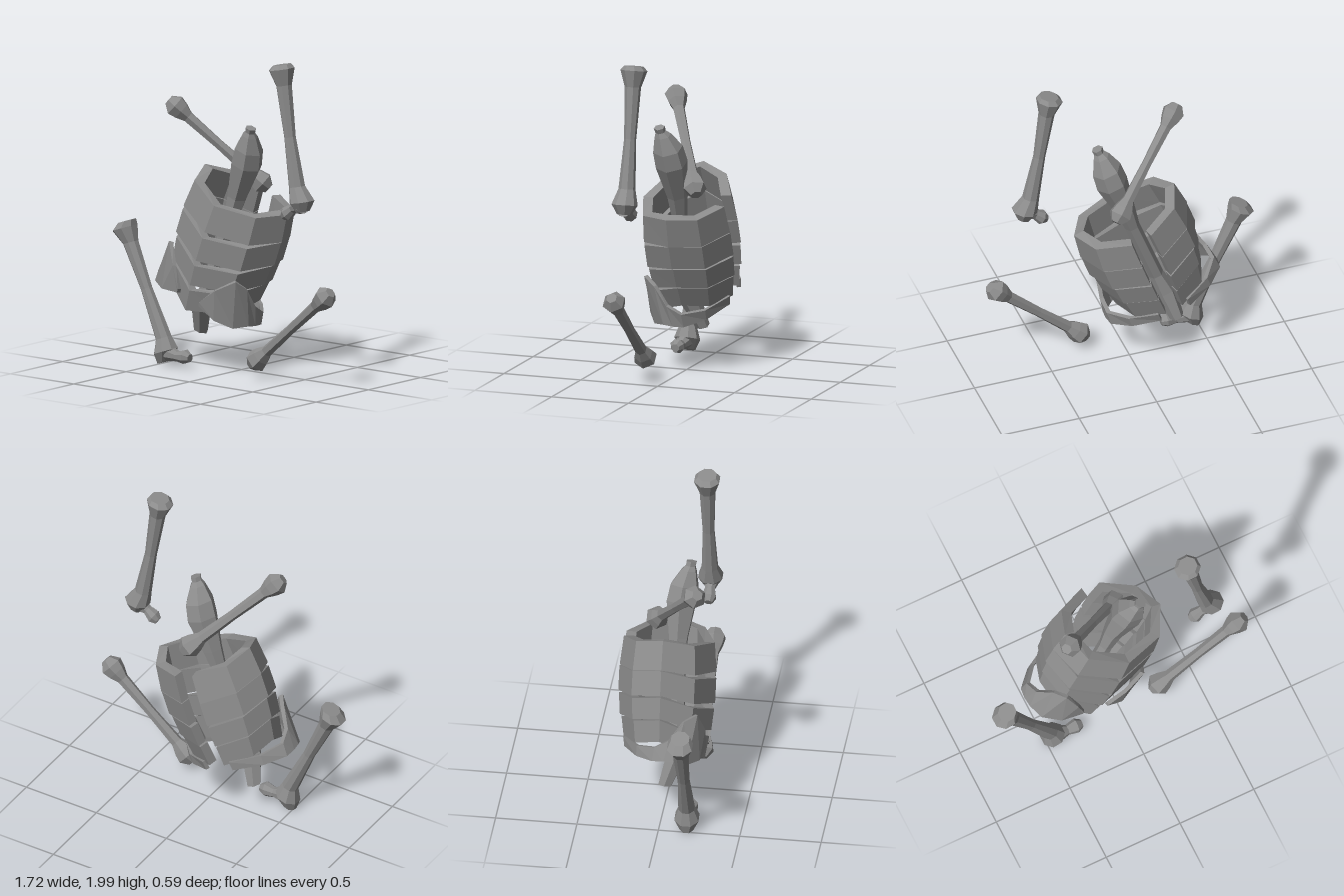
import * as THREE from 'three';

const material = new THREE.MeshStandardMaterial({ color: 0x8c8c8c, flatShading: true });
const V = (x, y, z) => new THREE.Vector3(x, y, z);

// Faceted solid through equal-sized cross-sections, capped at both ends.
function loft(name, sections) {
  const pos = [];
  const tri = (a, b, c) => [a, b, c].forEach(p => pos.push(p.x, p.y, p.z));
  const n = sections[0].length;
  for (let i = 0; i < sections.length - 1; i++) {
    const a = sections[i], b = sections[i + 1];
    for (let j = 0; j < n; j++) {
      const k = (j + 1) % n;
      tri(a[j], a[k], b[k]);
      tri(a[j], b[k], b[j]);
    }
  }
  const first = sections[0], last = sections[sections.length - 1];
  for (let j = 1; j < n - 1; j++) {
    tri(first[0], first[j + 1], first[j]);
    tri(last[0], last[j], last[j + 1]);
  }
  const geometry = new THREE.BufferGeometry();
  geometry.setAttribute('position', new THREE.Float32BufferAttribute(pos, 3));
  geometry.computeVertexNormals();
  const mesh = new THREE.Mesh(geometry, material);
  mesh.name = name;
  return mesh;
}

// Round bone through [x, y, z, radius] stations.
function bone(name, stations, sides) {
  const c = stations.map(s => V(s[0], s[1], s[2]));
  const d = c[c.length - 1].clone().sub(c[0]).normalize();
  const e1 = V(0, 0, 1).addScaledVector(d, -d.z).normalize();
  const e2 = d.clone().cross(e1);
  return loft(name, stations.map((s, i) => Array.from({ length: sides }, (_, j) => {
    const t = (j + 0.5) / sides * Math.PI * 2;
    return c[i].clone().addScaledVector(e1, s[3] * Math.cos(t)).addScaledVector(e2, s[3] * Math.sin(t));
  })));
}

// Straight limb bone with a knob at each end.
function limbBone(name, a, b) {
  const length = a.distanceTo(b);
  const end = [[-0.062, 0.035], [-0.012, 0.073], [0.04, 0.06], [0.095, 0.037]];
  const profile = [...end, [length / 2, 0.031], ...end.map(([t, r]) => [length - t, r]).reverse()];
  return bone(name, profile.map(([t, r]) => {
    const p = a.clone().lerp(b, t / length);
    return [p.x, p.y, p.z, r];
  }), 6);
}

// Thigh bone: flared head, shaft, knob and a side neck with a ball.
function thighBone(name, shaft, neck) {
  const group = new THREE.Group();
  group.name = name;
  const radii = [0.06, 0.083, 0.05, 0.037, 0.052, 0.08, 0.045];
  const neckRadii = [0.055, 0.032, 0.046, 0.026];
  group.add(bone('thighShaft', shaft.map(([x, y], i) => [x, y, 0.17, radii[i]]), 8));
  group.add(bone('thighNeck', neck.map(([x, y], i) => [x, y, 0.175, neckRadii[i]]), 8));
  return group;
}

// Octagonal rib band, open at the back and drooping from its sides to front and back.
function ribBand(name, rx, rz, height, frontDrop, taper) {
  const half = [ // angle from the back, drop
    [0.19, 0.05], [0.9, 0.03], [Math.PI / 2, 0], [2.3, frontDrop * 0.55], [Math.PI, frontDrop],
  ];
  const path = [...half, ...half.slice(0, 4).reverse().map(([a, drop]) => [Math.PI * 2 - a, drop])];
  const thickness = 0.065;
  return loft(name, path.map(([a, drop]) => {
    const corner = (side, inset) => {
      const k = 1 - side * taper;
      return V((rx * k - inset) * Math.sin(a), side * height / 2 - drop, -(rz * k - inset) * Math.cos(a));
    };
    return [corner(-1, thickness), corner(-1, 0), corner(1, 0), corner(1, thickness)];
  }));
}

// Hip blade: broad front fan narrowing to a strap that curls to the back.
function hipBlade(name, side) {
  const stations = [ // [top x, y, z], [bottom x, y, z]
    [[0.09, 0.02, 0.265], [0.09, -0.005, 0.26]],
    [[0.175, 0.14, 0.265], [0.218, -0.045, 0.245]],
    [[0.28, 0.25, 0.225], [0.327, -0.055, 0.18]],
    [[0.325, 0.21, 0.15], [0.38, -0.025, 0.1]],
    [[0.365, 0.1, 0.07], [0.385, -0.03, 0.04]],
    [[0.37, 0.05, -0.02], [0.375, -0.035, -0.03]],
    [[0.27, 0.03, -0.14], [0.27, -0.035, -0.14]],
    [[0.1, 0.04, -0.245], [0.1, -0.02, -0.235]],
  ];
  return loft(name, stations.map(([top, bottom]) => {
    const corner = ([x, y, z], inset) => {
      const k = 1 - inset / Math.hypot(x, z);
      return V(side * x * k, y, z * k);
    };
    const s = [corner(bottom, 0.025), corner(top, 0.025), corner(top, 0), corner(bottom, 0)];
    return side > 0 ? s : s.reverse();
  }));
}

export function createModel() {
  const model = new THREE.Group();
  model.name = 'bonePile';

  // Leaning torso: rib bands and hip blades
  const torso = new THREE.Group();
  torso.name = 'torso';
  torso.position.set(-0.21, 0.47, 0);
  torso.rotation.z = -0.35;
  const bands = [ // height on the torso, rx, rz, band height, front drop, taper
    [0.622, 0.355, 0.287, 0.18, 0.068, 0.03],
    [0.45, 0.362, 0.297, 0.155, 0.105, 0],
    [0.288, 0.338, 0.287, 0.135, 0.125, -0.02],
    [0.138, 0.305, 0.26, 0.14, 0.15, -0.04],
  ];
  bands.forEach(([y, ...shape], i) => {
    const band = ribBand('ribBand' + (i + 1), ...shape);
    band.position.y = y;
    torso.add(band);
  });
  torso.add(hipBlade('leftHipBlade', 1), hipBlade('rightHipBlade', -1));
  model.add(torso);

  // Spine running through the ribs, swelling above them
  model.add(bone('spine', [
    [-0.31, 0.225, 0.015, 0.045], [-0.255, 0.4, 0.075, 0.067], [-0.2, 0.53, 0.08, 0.047],
    [-0.04, 0.95, 0.06, 0.047], [0.01, 1.1, 0.055, 0.064], [0.09, 1.31, 0.063, 0.1],
    [0.12, 1.41, 0.077, 0.093], [0.147, 1.5, 0.1, 0.052], [0.158, 1.525, 0.11, 0.032], [0.168, 1.553, 0.115, 0.035],
  ], 6));

  // Scattered limbs
  model.add(
    thighBone('upperThighBone',
      [[0.46, 1.992], [0.457, 1.965], [0.475, 1.865], [0.522, 1.55], [0.577, 1.25], [0.617, 1.16], [0.622, 1.1]],
      [[0.61, 1.135], [0.55, 1.11], [0.505, 1.075], [0.475, 1.055]]),
    thighBone('lowerThighBone',
      [[-0.765, 0.87], [-0.78, 0.825], [-0.735, 0.74], [-0.61, 0.47], [-0.475, 0.18], [-0.457, 0.1], [-0.47, 0.03]],
      [[-0.43, 0.095], [-0.36, 0.08], [-0.3, 0.085], [-0.263, 0.08]]),
    limbBone('lowerArmBone', V(0.265, 0.135, 0.17), V(0.795, 0.585, 0.17)),
    limbBone('upperArmBone', V(-0.35, 1.635, 0.2), V(0.085, 1.18, -0.085)),
  );
  return model;
}
